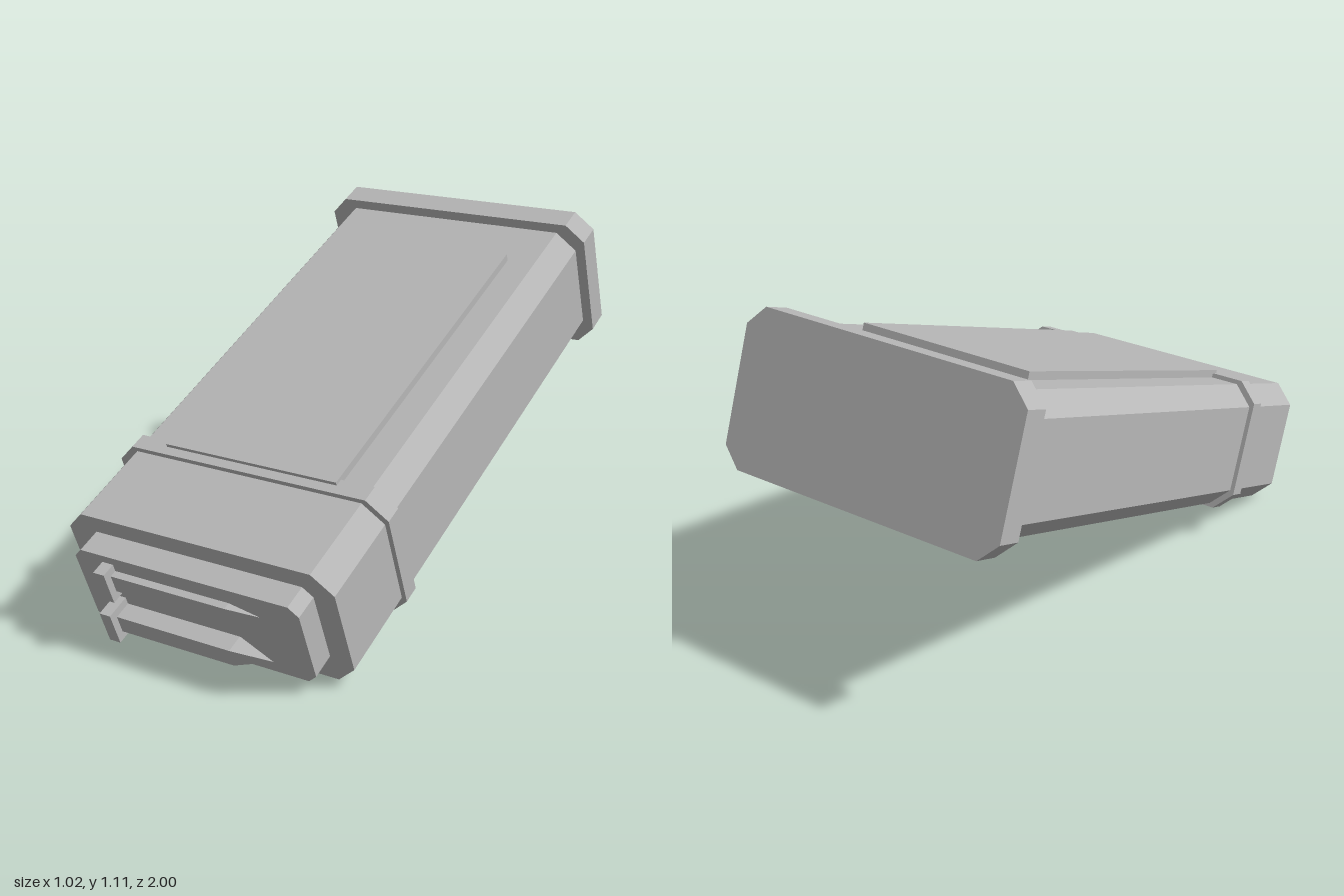
import * as THREE from 'three';

export function createModel() {
  const grey = new THREE.MeshStandardMaterial({ color: 0xb8b8b8 });
  grey.name = 'plain grey';

  const model = new THREE.Group();
  model.name = 'tiltedCase';
  // The whole case leans: front end low, back end high
  const tilted = new THREE.Group();
  tilted.name = 'caseBody';
  tilted.rotation.x = THREE.MathUtils.degToRad(21);
  model.add(tilted);

  const add = (geometry, name, x = 0, y = 0, z = 0, parent = tilted) => {
    const mesh = new THREE.Mesh(geometry, grey);
    mesh.name = name;
    mesh.position.set(x, y, z);
    parent.add(mesh);
    return mesh;
  };

  // Slab with four chamfered long edges, spanning z0..z1
  const chamfered = (name, w, y0, y1, z0, z1, c) => {
    const s = new THREE.Shape([
      [w - c, y0], [w, y0 + c], [w, y1 - c], [w - c, y1],
      [c - w, y1], [-w, y1 - c], [-w, y0 + c], [c - w, y0],
    ].map(([x, y]) => new THREE.Vector2(x, y)));
    return add(new THREE.ExtrudeGeometry(s, { depth: z1 - z0, bevelEnabled: false }), name, 0, 0, z0);
  };

  chamfered('mainBody', 0.475, 0.269, 0.704, -1.1, 0.7, 0.066);
  chamfered('backCap', 0.51, 0.239, 0.739, -1.163, -1.073, 0.063);
  chamfered('frontBand', 0.49, 0.256, 0.719, 0.335, 0.395, 0.066);
  chamfered('frontPanel', 0.4, 0.336, 0.643, 0.69, 0.783, 0.031);

  // Raised plate on the top face
  add(new THREE.BoxGeometry(0.62, 0.04, 1.234), 'topPlate', 0, 0.71, -0.255);

  // Two pointed bars with end blocks on the front panel
  const pointedBar = (name, y, z) => {
    const bar = new THREE.Group();
    bar.name = name;
    bar.position.set(0, y, z);
    tilted.add(bar);
    add(new THREE.BoxGeometry(0.04, 0.115, 0.108), 'endBlock', -0.275, 0, 0, bar);
    add(new THREE.BoxGeometry(0.42, 0.063, 0.06), 'shaft', -0.053, 0, 0, bar);
    const tip = new THREE.ConeGeometry(Math.SQRT1_2, 0.128, 4, 1, true).toNonIndexed();
    tip.rotateY(Math.PI / 4);
    tip.rotateZ(-Math.PI / 2);
    tip.scale(1, 0.063, 0.06);
    tip.computeVertexNormals();
    add(tip, 'tip', 0.221, 0, 0, bar);
  };
  pointedBar('upperBar', 0.558, 0.777);
  pointedBar('lowerBar', 0.418, 0.812);

  return model;
}
